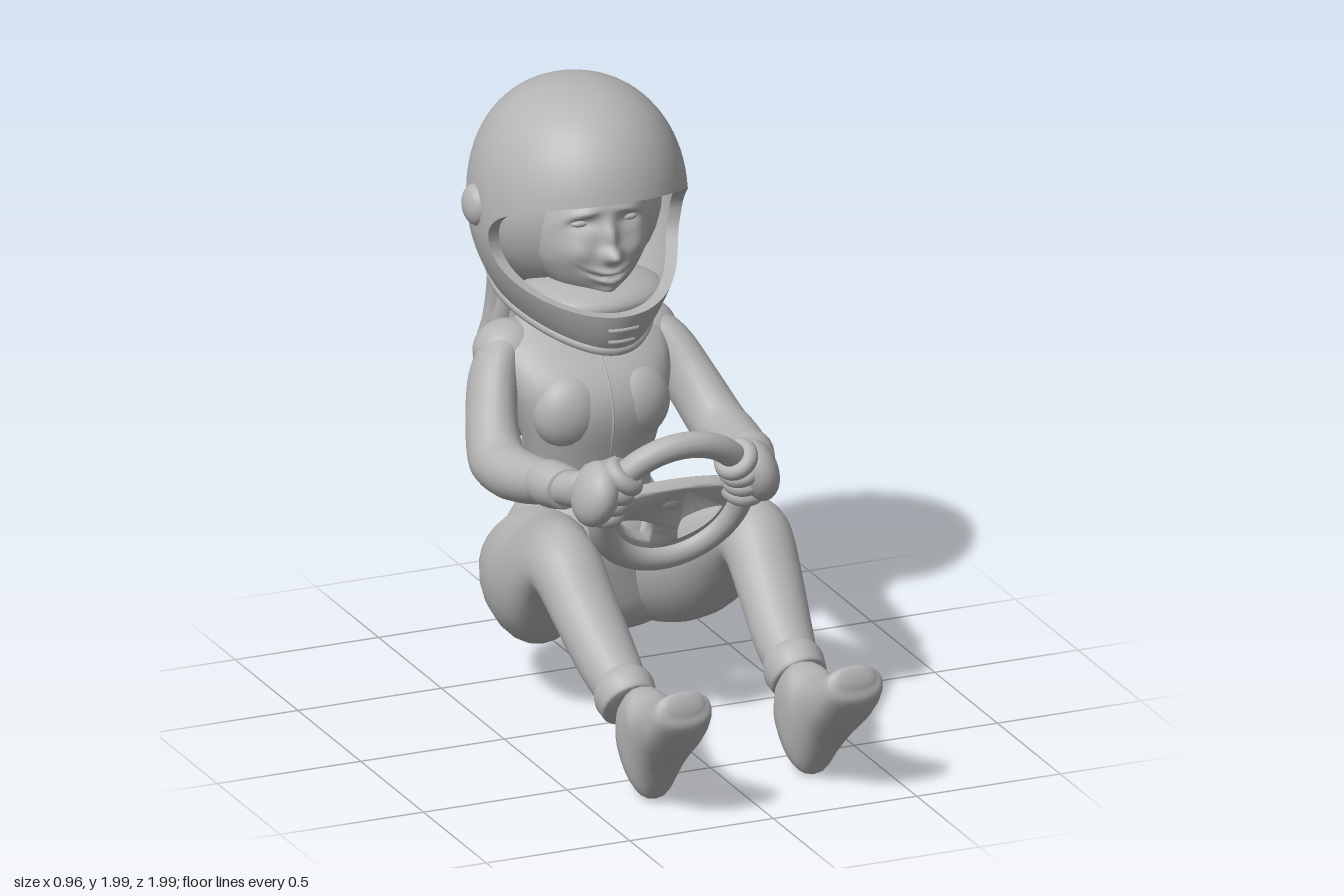
import * as THREE from 'three';
import { mergeVertices, toCreasedNormals } from 'three/addons/utils/BufferGeometryUtils.js';

const grey = new THREE.MeshStandardMaterial({ color: 0xb4b4b4 });
grey.name = 'matte grey';
const V = (x, y, z) => new THREE.Vector3(x, y, z);

// Skin over rings of points; flips itself so that faces point outwards.
function skin(rings, closed = false, crease = 0) {
  const n = rings[0].length, m = rings.length, pos = [], idx = [];
  for (const r of rings) for (const p of r) pos.push(p.x, p.y, p.z);
  let vol = 0;
  const at = (k) => rings[Math.floor(k / n)][k % n];
  const tri = (a, b, c) => {
    idx.push(a, b, c);
    vol += at(a).dot(V().crossVectors(at(b), at(c)));
  };
  for (let i = 0; i < (closed ? m : m - 1); i++) {
    for (let j = 0; j < n; j++) {
      const a = i * n + j, b = i * n + (j + 1) % n;
      const c = ((i + 1) % m) * n + j, d = ((i + 1) % m) * n + (j + 1) % n;
      tri(a, c, b);
      tri(b, c, d);
    }
  }
  if (vol < 0) idx.reverse();
  let g = new THREE.BufferGeometry();
  g.setAttribute('position', new THREE.Float32BufferAttribute(pos, 3));
  g.setIndex(idx);
  g = mergeVertices(g, 1e-5);
  if (crease) return toCreasedNormals(g, crease);
  g.computeVertexNormals();
  return g;
}

// Rounded body through sections [z0, y0, z1, y1, centreX, halfWidth]:
// two opposite edge points in the side plane plus the sideways extent.
function loft(sections, { side = 1, dome = 0.04, square = 1, steps = 5, n = 24 } = {}) {
  const curveA = new THREE.CatmullRomCurve3(sections.map((s) => V(s[4], s[1], s[0])), false, 'catmullrom', 0.5);
  const curveB = new THREE.CatmullRomCurve3(sections.map((s) => V(s[5], s[3], s[2])), false, 'catmullrom', 0.5);
  const list = [], count = (sections.length - 1) * steps;
  for (let i = 0; i <= count; i++) {
    const a = curveA.getPoint(i / count), b = curveB.getPoint(i / count);
    list.push({
      c: V(a.x * side, (a.y + b.y) / 2, (a.z + b.z) / 2),
      h: V(0, (a.y - b.y) / 2, (a.z - b.z) / 2), w: b.x,
    });
  }
  const ring = (s, scale, off) => Array.from({ length: n }, (_, j) => {
    const t = j / n * Math.PI * 2, c = Math.cos(t), q = Math.sin(t);
    const cx = Math.sign(c) * Math.abs(c) ** square, sy = Math.sign(q) * Math.abs(q) ** square;
    return s.c.clone().add(off).addScaledVector(s.h, sy * scale).add(V(cx * s.w * scale, 0, 0));
  });
  const cap = (s, next) => {
    const d = s.c.clone().sub(next.c).normalize();
    return [0, 0.25, 0.5, 0.75].map((k) => {
      const t = k * Math.PI / 2;
      return ring(s, Math.sin(t), d.clone().multiplyScalar(dome * Math.cos(t)));
    });
  };
  const last = list.length - 1;
  return skin([
    ...cap(list[0], list[1]),
    ...list.map((s) => ring(s, 1, V(0, 0, 0))),
    ...cap(list[last], list[last - 1]).reverse(),
  ]);
}

// Helmet outer surface at azimuth f (0 is the front) and height y.
function helmetPoint(f, y, k = 1) {
  const up = Math.max(0, Math.min(1, (y - 1.58) / 0.41)), q = Math.max(0, (1.58 - y) / 0.42);
  const round = (p) => Math.max(0, 1 - up ** p) ** (1 / p);
  const c = Math.cos(f);
  const w = 0.345 * (1 - 0.55 * q * q) * round(2.2);
  const depth = c > 0 ? (0.4 - 0.08 * q ** 4) * round(2.4) : (0.405 - 0.1 * q * q) * round(2.1);
  return V(Math.sin(f) * w * k, k < 1 ? 1.58 + (y - 1.58) * (y > 1.7 ? 0.95 : 1) : y, -0.56 + c * depth * k);
}
const openEdge = (f) => Math.max(0, (Math.cos(f) - 0.15) / 0.85) ** 0.4;
const brow = (f) => 1.5 + 0.2 * openEdge(f);
const chin = (f) => 1.5 - 0.19 * openEdge(f);
const hem = (f) => 1.248 - 0.083 * Math.cos(f);

function helmetShell(top, bottom, power) {
  const f0 = Math.acos(0.15), angles = [];
  for (let i = 0; i < 48; i++) angles.push(f0 * Math.sin((i / 24 - 1) * Math.PI / 2));
  for (let i = 0; i < 48; i++) angles.push(f0 + (2 * Math.PI - 2 * f0) * i / 48);
  return skin(angles.map((f) => {
    const ys = Array.from({ length: 21 }, (_, i) => top(f) + (bottom(f) - top(f)) * (i / 20) ** power);
    return [...ys.map((y) => helmetPoint(f, y)), ...ys.reverse().map((y) => helmetPoint(f, y, 0.88))];
  }), true, 0.7);
}

// Head: an ellipsoid whose front is modelled with soft bumps
// [x, y, spreadX, spreadY, height, upward curl], mirrored in x.
function headGeometry() {
  const bumps = [[0, 1.482, 0.03, 0.024, 0.055, 0], [0, 1.54, 0.022, 0.05, 0.03, 0], [0.08, 1.63, 0.06, 0.016, 0.016, -2],
    [0.08, 1.585, 0.045, 0.022, -0.02, 0], [0.105, 1.49, 0.05, 0.045, 0.022, 0], [0, 1.4, 0.11, 0.07, 0.04, 0],
    [0, 1.422, 0.06, 0.009, 0.013, 3], [0, 1.406, 0.07, 0.007, -0.016, 3], [0, 1.39, 0.05, 0.01, 0.014, 3],
    [0, 1.345, 0.05, 0.028, 0.035, 0]];
  const g = new THREE.SphereGeometry(1, 128, 96).scale(0.2, 0.25, 0.19).translate(0, 1.53, -0.49);
  const p = g.attributes.position;
  for (let i = 0; i < p.count; i++) {
    const x = Math.abs(p.getX(i)), y = p.getY(i), z = p.getZ(i);
    const facing = Math.min(1, Math.max(0, (z + 0.49) / 0.08));
    const lift = bumps.reduce((sum, [bx, by, sx, sy, a, curl]) =>
      sum + a * Math.exp(-(((x - bx) / sx) ** 2) - ((y - by - curl * x * x) / sy) ** 2), 0);
    const jaw = 1 - 0.9 * Math.max(0, 1.45 - y);
    p.setXYZ(i, p.getX(i) * jaw, y, z + lift * facing);
  }
  g.computeVertexNormals();
  return g;
}

// Wheel centre plate with two openings beside the lower spoke
function wheelPlate() {
  const shape = new THREE.Shape();
  shape.moveTo(-0.235, 0.02);
  shape.quadraticCurveTo(0, 0.075, 0.235, 0.02);
  shape.absarc(0, 0, 0.235, 0, Math.PI, true);
  for (const s of [1, -1]) {
    const hole = new THREE.Path();
    hole.moveTo(s * 0.05, -0.085);
    hole.quadraticCurveTo(s * 0.12, -0.045, s * 0.185, -0.055);
    hole.quadraticCurveTo(s * 0.16, -0.14, s * 0.05, -0.175);
    hole.quadraticCurveTo(s * 0.035, -0.13, s * 0.05, -0.085);
    shape.holes.push(hole);
  }
  const g = new THREE.ExtrudeGeometry(shape, { depth: 0.025, bevelSize: 0.01, bevelThickness: 0.012, bevelSegments: 3, curveSegments: 24 });
  return toCreasedNormals(g.translate(0, 0, -0.035), 0.7);
}

export function createModel() {
  const model = new THREE.Group();
  model.name = 'seatedDriver';
  const add = (name, geo, parent = model) => {
    const m = new THREE.Mesh(geo, grey);
    m.name = name;
    parent.add(m);
    return m;
  };
  const ball = (name, p, r, parent = model) => {
    const m = add(name, new THREE.SphereGeometry(1, 32, 20), parent);
    m.position.set(...p);
    m.scale.set(...r);
    return m;
  };
  const tube = (name, pts, r, parent = model, closed = false) =>
    add(name, new THREE.TubeGeometry(new THREE.CatmullRomCurve3(pts, closed), closed ? 80 : 20, r, 10, closed), parent);

  // Torso, neck and hips
  add('torso', loft([
    [-0.31, 0.58, -0.62, 0.6, 0, 0.205], [-0.31, 0.72, -0.62, 0.74, 0, 0.2], [-0.27, 0.92, -0.65, 0.88, 0, 0.245],
    [-0.31, 1.04, -0.68, 1.0, 0, 0.28], [-0.42, 1.14, -0.7, 1.12, 0, 0.285], [-0.5, 1.21, -0.675, 1.2, 0, 0.18],
    [-0.5, 1.32, -0.64, 1.33, 0, 0.09]], { n: 36, square: 0.9 }));
  add('hips', loft([
    [-0.31, 0.64, -0.62, 0.64, 0, 0.205], [-0.25, 0.52, -0.65, 0.52, 0, 0.29], [-0.26, 0.34, -0.67, 0.4, 0, 0.335],
    [-0.28, 0.245, -0.65, 0.28, 0, 0.315], [-0.33, 0.185, -0.58, 0.2, 0, 0.25]], { n: 36, dome: 0.025, square: 0.9 }));
  tube('waistSeam', Array.from({ length: 16 }, (_, i) => {
    const t = i / 8 * Math.PI;
    return V(0.205 * Math.cos(t), 0.63, -0.465 + 0.157 * Math.sin(t));
  }), 0.009, model, true);
  tube('frontZip', [V(0, 0.66, -0.309), V(0, 0.78, -0.3), V(0, 0.92, -0.27), V(0, 1.04, -0.309), V(0, 1.13, -0.41)], 0.004);

  // Limbs
  for (const side of [1, -1]) {
    const s = side > 0 ? 'left' : 'right';
    ball(s + 'Chest', [side * 0.11, 0.94, -0.375], [0.125, 0.13, 0.1]);
    ball(s + 'Buttock', [side * 0.17, 0.375, -0.45], [0.19, 0.21, 0.21]);
    ball(s + 'Shoulder', [side * 0.235, 1.095, -0.58], [0.112, 0.1, 0.11]);
    add(s + 'Leg', loft([
      [-0.53, 0.56, -0.6, 0.24, 0.19, 0.15], [-0.44, 0.61, -0.51, 0.18, 0.2, 0.175], [-0.28, 0.64, -0.33, 0.18, 0.23, 0.18],
      [-0.1, 0.7, -0.15, 0.265, 0.285, 0.155], [0.06, 0.735, -0.01, 0.42, 0.325, 0.125], [0.18, 0.695, 0.065, 0.485, 0.33, 0.118],
      [0.3, 0.575, 0.19, 0.405, 0.32, 0.11], [0.42, 0.465, 0.33, 0.29, 0.305, 0.1], [0.53, 0.38, 0.45, 0.22, 0.295, 0.085]], { side }));
    add(s + 'AnkleCuff', loft([
      [0.5, 0.405, 0.41, 0.235, 0.295, 0.09], [0.54, 0.4, 0.435, 0.205, 0.295, 0.1], [0.59, 0.365, 0.475, 0.19, 0.295, 0.093]],
    { side, dome: 0.012 }));
    add(s + 'Shoe', loft([
      [0.46, 0.205, 0.66, 0.005, 0.275, 0.065], [0.51, 0.3, 0.705, 0.015, 0.277, 0.085], [0.6, 0.36, 0.765, 0.085, 0.28, 0.092],
      [0.7, 0.345, 0.835, 0.165, 0.287, 0.097], [0.84, 0.4, 0.925, 0.255, 0.295, 0.108], [0.93, 0.455, 0.99, 0.345, 0.298, 0.1],
      [0.955, 0.465, 0.99, 0.395, 0.298, 0.07]], { side, dome: 0.018, square: 0.85 }));
    add(s + 'Arm', loft([
      [-0.53, 1.175, -0.66, 1.04, 0.245, 0.09], [-0.46, 1.125, -0.62, 0.96, 0.297, 0.088], [-0.37, 1.02, -0.52, 0.86, 0.35, 0.085],
      [-0.27, 0.925, -0.39, 0.76, 0.385, 0.09], [-0.19, 0.915, -0.24, 0.735, 0.385, 0.09], [-0.09, 0.92, -0.1, 0.755, 0.368, 0.083],
      [0.03, 0.93, 0.02, 0.79, 0.345, 0.07], [0.1, 0.93, 0.1, 0.81, 0.325, 0.062], [0.17, 0.95, 0.17, 0.82, 0.295, 0.06]], { side }));
    add(s + 'GloveCuff', loft([
      [-0.01, 0.935, -0.01, 0.785, 0.35, 0.075], [0.04, 0.94, 0.04, 0.785, 0.342, 0.079], [0.1, 0.938, 0.1, 0.798, 0.328, 0.072]],
    { side, dome: 0.012 }));
    const palm = ball(s + 'Palm', [side * 0.278, 0.885, 0.22], [0.07, 0.108, 0.105]);
    palm.rotation.z = side * 0.3;
    tube(s + 'Thumb', [V(side * 0.27, 0.93, 0.14), V(side * 0.225, 0.955, 0.19), V(side * 0.2, 0.985, 0.24)], 0.028);
  }

  // Steering wheel, with fingers wrapped round its rim
  const wheel = new THREE.Group();
  wheel.name = 'steeringWheel';
  wheel.position.set(0, 0.81, 0.195);
  wheel.rotation.x = 0.42;
  model.add(wheel);
  add('wheelRim', new THREE.TorusGeometry(0.245, 0.043, 16, 64), wheel);
  add('wheelPlate', wheelPlate(), wheel);
  ball('wheelHub', [0, -0.02, -0.04], [0.1, 0.06, 0.045], wheel);
  for (const side of [1, -1]) {
    for (let i = 0; i < 4; i++) {
      const a = 0.04 + i * 0.2;
      const finger = add('finger', new THREE.TorusGeometry(0.047, 0.029, 12, 24), wheel);
      finger.position.set(side * 0.245 * Math.cos(a), 0.245 * Math.sin(a), 0);
      finger.rotation.set(Math.PI / 2, side * a, 0, 'ZXY');
    }
  }

  // Helmet
  const helmet = new THREE.Group();
  helmet.name = 'helmet';
  model.add(helmet);
  add('helmetDome', helmetShell(() => 1.99, brow, 2), helmet);
  add('helmetLower', helmetShell(chin, hem, 1), helmet);
  ball('helmetLining', [0, 1.56, -0.65], [0.31, 0.3, 0.29], helmet);
  ball('chinPadding', [0, 1.305, -0.45], [0.24, 0.07, 0.2], helmet);
  const round = (fn) => Array.from({ length: 40 }, (_, i) => fn(i / 20 * Math.PI));
  tube('helmetHem', round((f) => helmetPoint(f, hem(f) + 0.012, 0.97)), 0.02, helmet, true);
  for (const side of [1, -1]) ball('visorPivot', [side * 0.33, 1.595, -0.605], [0.046, 0.07, 0.068], helmet);
  for (const y of [1.215, 1.26]) {
    tube('chinVent', [-0.22, -0.1, 0, 0.1, 0.22].map((f) => helmetPoint(f, y, 0.995)), 0.009, helmet);
  }

  // Face
  const face = new THREE.Group();
  face.name = 'face';
  model.add(face);
  add('head', headGeometry(), face);
  for (const side of [1, -1]) ball('eye', [side * 0.08, 1.582, -0.352], [0.036, 0.014, 0.022], face);

  // Long hair: a core with wavy locks around it
  const hair = new THREE.Group();
  hair.name = 'hair';
  model.add(hair);
  add('hairCore', loft([
    [-0.62, 1.3, -0.88, 1.37, 0, 0.18], [-0.69, 1.13, -0.93, 1.2, 0, 0.17], [-0.77, 0.95, -0.955, 1.0, 0, 0.16],
    [-0.78, 0.8, -0.94, 0.84, 0, 0.13], [-0.86, 0.68, -0.95, 0.71, 0, 0.09]]), hair);
  for (let i = 0; i < 14; i++) {
    const t = i / 14 * Math.PI * 2, c = Math.cos(t), q = Math.sin(t), drop = 0.045 * Math.sin(i * 2.4);
    const path = [[1.33, -0.75, 0.11, 0.17], [1.15, -0.82, 0.11, 0.175], [0.95, -0.875, 0.085, 0.17],
      [0.77, -0.868, 0.07, 0.15], [0.61 + drop, -0.945, 0.025, 0.13]];
    add('hairLock', loft(path.map(([y, z, dz, dx], k) => {
      const r = [0.036, 0.042, 0.04, 0.036, 0.016][k], wave = 0.02 * Math.sin(k * 1.9 + i * 0.9);
      return [z - q * dz + r, y, z - q * dz - r, y + 0.02, c * dx + wave, r];
    }), { n: 10, dome: 0.02 }), hair);
  }
  return model;
}
